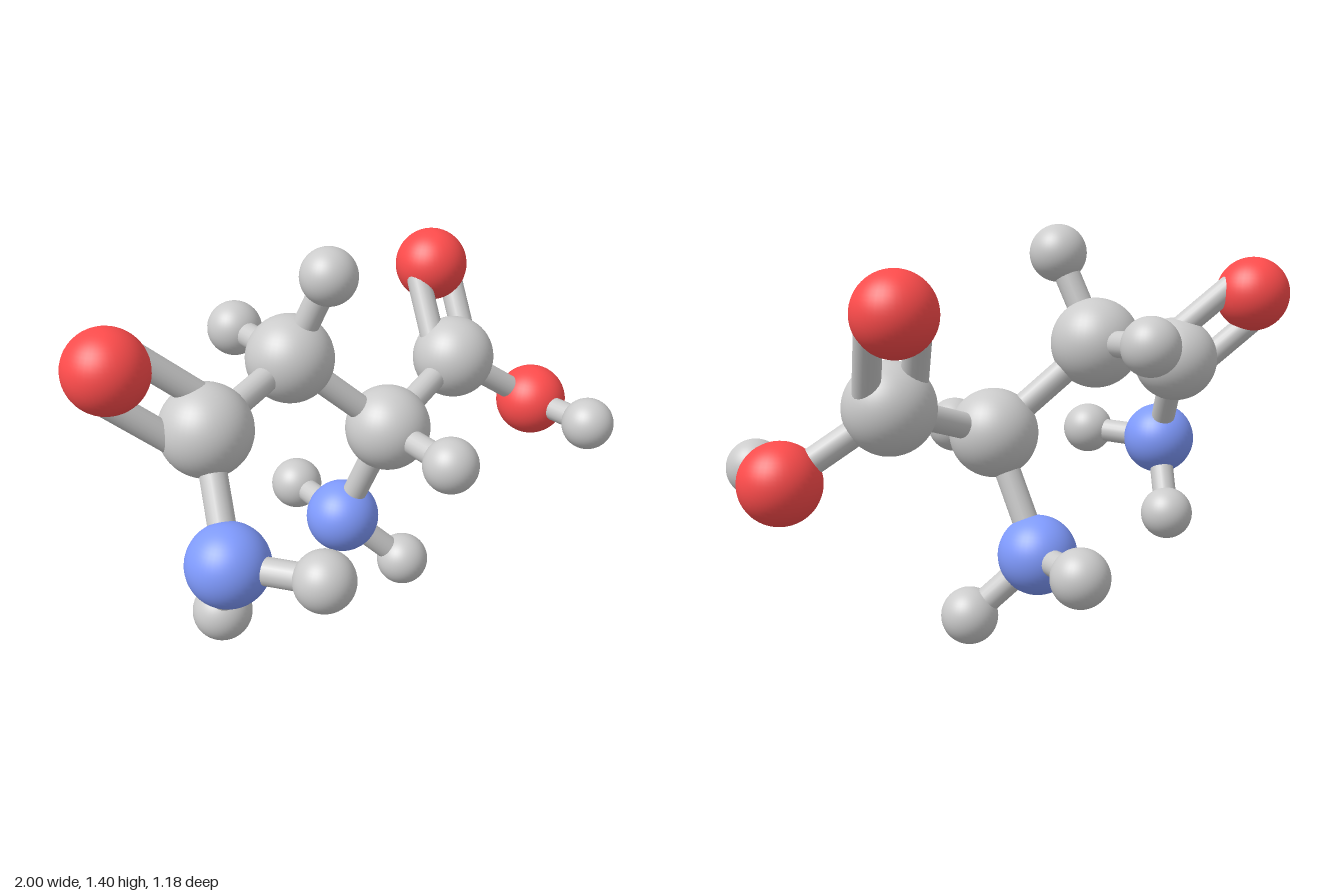
import * as THREE from 'three';

const GREY = new THREE.MeshStandardMaterial({ color: 0xcccccc });
const RED = new THREE.MeshStandardMaterial({ color: 0xff4c4c });
const BLUE = new THREE.MeshStandardMaterial({ color: 0x809bff });

// Radius and material for each kind of atom
const KINDS = {
  carbon: [0.15, GREY],
  oxygen: [0.133, RED],
  nitrogen: [0.133, BLUE],
  hydrogen: [0.096, GREY],
};
const BOND_RADIUS = 0.044;
const DOUBLE_OFFSET = 0.08;

// name: [kind, x, y, z]
const ATOMS = {
  amideCarbon: ['carbon', -0.607, 0.927, -0.02],
  amideOxygen: ['oxygen', -0.87, 1.16, -0.12],
  amideNitrogen: ['nitrogen', -0.703, 0.598, 0.224],
  amideHydrogenFront: ['hydrogen', -0.543, 0.614, 0.494],
  amideHydrogenLow: ['hydrogen', -0.65, 0.333, 0.083],
  middleCarbon: ['carbon', -0.187, 1.008, -0.163],
  middleHydrogenTop: ['hydrogen', -0.105, 1.305, -0.05],
  middleHydrogenBack: ['hydrogen', -0.19, 1.016, -0.494],
  centralCarbon: ['carbon', 0.127, 0.708, -0.028],
  centralHydrogen: ['hydrogen', 0.125, 0.694, 0.303],
  amineNitrogen: ['nitrogen', 0.041, 0.311, -0.182],
  amineHydrogenLow: ['hydrogen', 0.239, 0.1, -0.069],
  amineHydrogenBack: ['hydrogen', 0.056, 0.309, -0.494],
  acidCarbon: ['carbon', 0.543, 0.828, -0.15],
  acidOxygenTop: ['oxygen', 0.596, 1.127, -0.345],
  acidOxygenSide: ['oxygen', 0.865, 0.6, -0.043],
  acidHydrogen: ['hydrogen', 0.865, 0.604, 0.251],
};

// Pairs of joined atoms and the number of rods between them
const BONDS = [
  ['amideCarbon', 'amideOxygen', 2],
  ['amideCarbon', 'amideNitrogen', 1],
  ['amideNitrogen', 'amideHydrogenFront', 1],
  ['amideNitrogen', 'amideHydrogenLow', 1],
  ['amideCarbon', 'middleCarbon', 1],
  ['middleCarbon', 'middleHydrogenTop', 1],
  ['middleCarbon', 'middleHydrogenBack', 1],
  ['middleCarbon', 'centralCarbon', 1],
  ['centralCarbon', 'centralHydrogen', 1],
  ['centralCarbon', 'amineNitrogen', 1],
  ['amineNitrogen', 'amineHydrogenLow', 1],
  ['amineNitrogen', 'amineHydrogenBack', 1],
  ['centralCarbon', 'acidCarbon', 1],
  ['acidCarbon', 'acidOxygenTop', 2],
  ['acidCarbon', 'acidOxygenSide', 1],
  ['acidOxygenSide', 'acidHydrogen', 1],
];

const UP = new THREE.Vector3(0, 1, 0);
const FORWARD = new THREE.Vector3(0, 0, 1);
const centre = (name) => new THREE.Vector3(...ATOMS[name].slice(1));

// Straight rod between two points
function rod(a, b, name) {
  const along = b.clone().sub(a);
  const geometry = new THREE.CylinderGeometry(BOND_RADIUS, BOND_RADIUS, along.length(), 20);
  const mesh = new THREE.Mesh(geometry, GREY);
  mesh.position.copy(a).lerp(b, 0.5);
  mesh.quaternion.setFromUnitVectors(UP, along.normalize());
  mesh.name = name;
  return mesh;
}

export function createModel() {
  const model = new THREE.Group();
  model.name = 'molecule';

  // Atoms share one ball per kind
  const balls = {};
  for (const kind in KINDS) balls[kind] = new THREE.SphereGeometry(KINDS[kind][0], 40, 28);
  for (const name in ATOMS) {
    const kind = ATOMS[name][0];
    const ball = new THREE.Mesh(balls[kind], KINDS[kind][1]);
    ball.position.copy(centre(name));
    ball.name = name;
    model.add(ball);
  }

  // Bonds, with double ones as two parallel rods side by side
  for (const [from, to, count] of BONDS) {
    const a = centre(from);
    const b = centre(to);
    const name = `${from} to ${to} bond`;
    if (count === 1) {
      model.add(rod(a, b, name));
      continue;
    }
    const pair = new THREE.Group();
    pair.name = name;
    const across = b.clone().sub(a).cross(FORWARD).setLength(DOUBLE_OFFSET);
    for (const side of [-1, 1]) {
      const shift = across.clone().multiplyScalar(side);
      pair.add(rod(a.clone().add(shift), b.clone().add(shift), 'doubleBondRod'));
    }
    model.add(pair);
  }
  return model;
}
